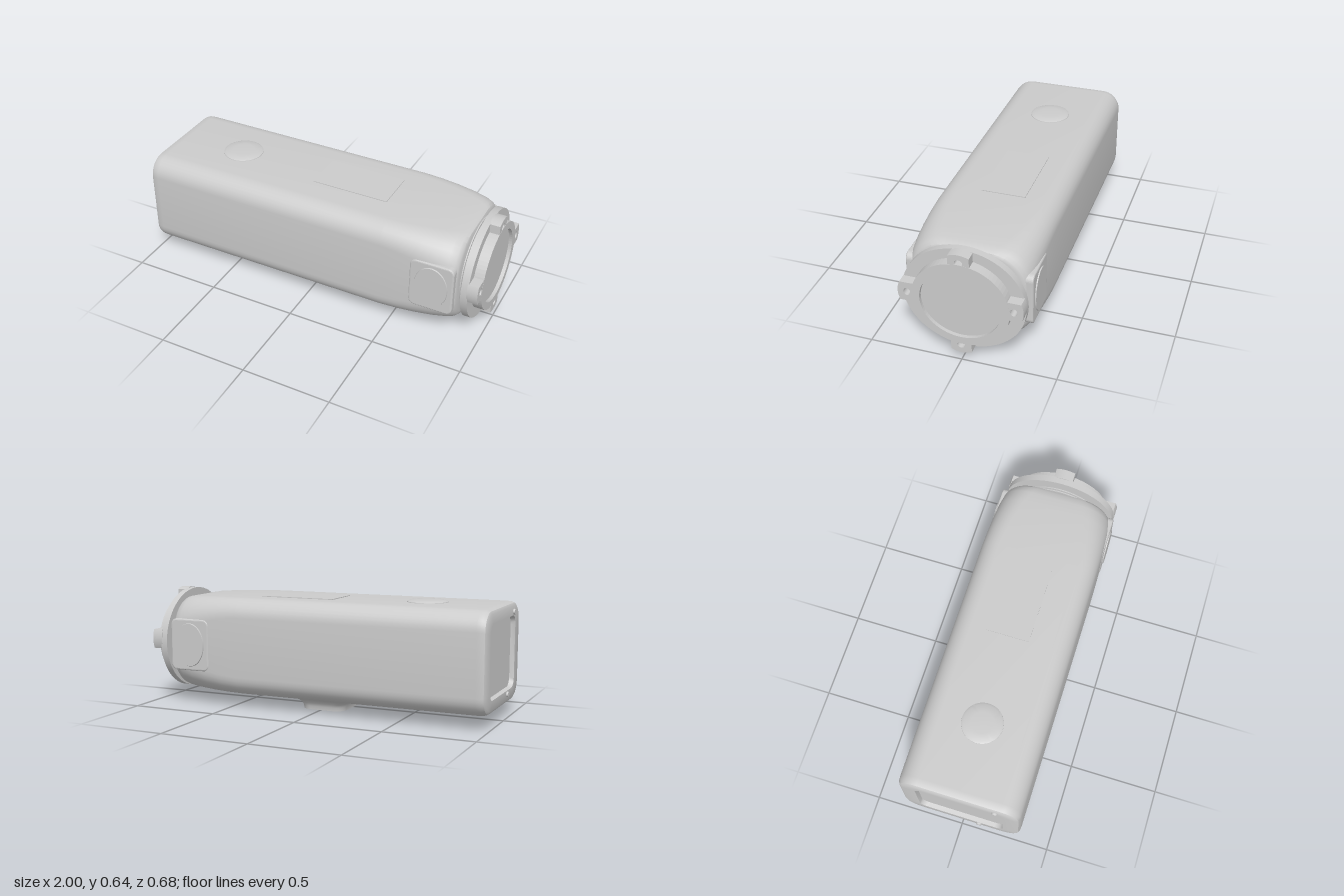
import * as THREE from 'three';
import { toCreasedNormals } from 'three/addons/utils/BufferGeometryUtils.js';

const MID = 0.345; // height of the long axis
const material = new THREE.MeshStandardMaterial({ color: 0xcccccc });

// Rounded rectangle outline, counter-clockwise, 4 * 9 points
function roundedRect(hu, hv, r) {
  const pts = [];
  for (let c = 0; c < 4; c++) {
    const su = c === 0 || c === 3 ? 1 : -1, sv = c < 2 ? 1 : -1;
    for (let k = 0; k <= 8; k++) {
      const a = (c + k / 8) * Math.PI / 2;
      pts.push(new THREE.Vector2(su * (hu - r) + r * Math.cos(a), sv * (hv - r) + r * Math.sin(a)));
    }
  }
  return pts;
}

// Loft through rounded rectangles [w, halfU, halfV, radius] along +z, capped at both ends
function loft(sections) {
  const pos = [], idx = [], n = 36, last = sections.length - 1;
  for (const [w, hu, hv, r] of sections) for (const p of roundedRect(hu, hv, r)) pos.push(p.x, p.y, w);
  pos.push(0, 0, sections[0][0], 0, 0, sections[last][0]);
  const c0 = n * (last + 1);
  for (let j = 0; j < n; j++) {
    const k = (j + 1) % n;
    for (let i = 0; i < last; i++) {
      const a = i * n + j, b = i * n + k;
      idx.push(a, b, b + n, a, b + n, a + n);
    }
    idx.push(c0, k, j, c0 + 1, last * n + j, last * n + k);
  }
  const g = new THREE.BufferGeometry();
  g.setAttribute('position', new THREE.Float32BufferAttribute(pos, 3));
  g.setIndex(idx);
  return toCreasedNormals(g, 0.6);
}

// Elliptical disc along x
function disc(x0, x1, ry, rz) {
  return new THREE.CylinderGeometry(1, 1, x1 - x0, 72)
    .rotateZ(-Math.PI / 2).scale(1, ry, rz).translate((x0 + x1) / 2, MID, 0);
}

// Extrude a (-z, y) shape along x
function extrudeX(shape, x0, x1) {
  return new THREE.ExtrudeGeometry(shape, { depth: x1 - x0, bevelEnabled: false, curveSegments: 36 })
    .rotateY(Math.PI / 2).translate(x0, 0, 0);
}

function ellipsePath(cx, cy, rx, ry) {
  return new THREE.Path().absellipse(cx, cy, rx, ry, 0, Math.PI * 2, true);
}

export function createModel() {
  const model = new THREE.Group();
  const add = (name, geometry) => {
    const mesh = new THREE.Mesh(geometry, material);
    mesh.name = name;
    model.add(mesh);
    return mesh;
  };

  // Housing, with the recessed panel at the rear and the tapered nose
  add('housing', loft([
    [-0.965, 0.235, 0.195, 0.05], [-0.99, 0.24, 0.2, 0.05],
    [-0.99, 0.312, 0.252, 0.09], [-0.982, 0.326, 0.266, 0.1], [-0.965, 0.333, 0.273, 0.105],
    [-0.94, 0.335, 0.275, 0.107], [0.45, 0.335, 0.275, 0.107], [0.55, 0.334, 0.274, 0.115],
    [0.65, 0.332, 0.272, 0.13], [0.75, 0.328, 0.268, 0.15], [0.82, 0.322, 0.264, 0.17],
    [0.855, 0.314, 0.258, 0.18], [0.872, 0.302, 0.248, 0.18], [0.878, 0.285, 0.232, 0.17],
  ]).rotateY(Math.PI / 2).translate(0, MID, 0));

  // Rear screws
  for (const [y, z] of [[0.125, 0.1], [0.565, 0.2]]) {
    add('rearScrew', new THREE.CylinderGeometry(0.014, 0.018, 0.02, 16)
      .rotateZ(Math.PI / 2).translate(-0.99, y, z));
  }

  // Flared mounting foot and its screws
  add('mountingFoot', loft([
    [0, 0.128, 0.168, 0.06], [0.02, 0.13, 0.17, 0.06], [0.038, 0.14, 0.178, 0.065],
    [0.053, 0.158, 0.192, 0.07], [0.064, 0.185, 0.214, 0.08], [0.071, 0.215, 0.24, 0.09],
    [0.09, 0.22, 0.245, 0.09],
  ]).rotateX(-Math.PI / 2).translate(-0.005, 0, 0));
  for (const sx of [-1, 1]) for (const sz of [-1, 1]) {
    add('footScrew', new THREE.CylinderGeometry(0.014, 0.014, 0.012, 16)
      .translate(-0.005 + sx * 0.09, 0.008, sz * 0.13));
  }

  // Shallow domed button and thin panel on top
  add('topButton', toCreasedNormals(new THREE.LatheGeometry(
    [[0.115, 0.61], [0.112, 0.623], [0.1, 0.629], [0.06, 0.632], [0, 0.633]]
      .map(([r, y]) => new THREE.Vector2(r, y)), 48), 0.6).translate(-0.565, 0, 0));
  add('topPanel', new THREE.BoxGeometry(0.44, 0.012, 0.24).translate(0.16, 0.618, -0.02));

  // Side pads with round covers
  for (const side of [1, -1]) {
    const pad = new THREE.Group();
    pad.name = 'sidePad';
    const plate = new THREE.Mesh(new THREE.ExtrudeGeometry(
      new THREE.Shape(roundedRect(0.113, 0.138, 0.025)),
      { depth: 0.05, bevelThickness: 0.008, bevelSize: 0.01, bevelSegments: 3 }), material);
    plate.position.z = 0.278;
    plate.name = 'padPlate';
    const cover = new THREE.Mesh(new THREE.CylinderGeometry(1, 1.04, 0.012, 48)
      .rotateX(Math.PI / 2).scale(0.092, 0.122, 1), material);
    cover.position.z = 0.336;
    cover.name = 'padCover';
    pad.add(plate, cover);
    pad.position.set(0.747, MID, 0);
    if (side < 0) pad.rotation.y = Math.PI;
    model.add(pad);
  }

  // Ribbed neck
  add('neck', disc(0.85, 0.92, 0.232, 0.245));
  for (const x of [0.882, 0.896]) add('neckRib', disc(x - 0.003, x + 0.003, 0.246, 0.26));

  // Lens flange, raised ring and glass
  add('flange', disc(0.907, 0.945, 0.295, 0.325));
  const ringShape = new THREE.Shape().absellipse(0, MID, 0.257, 0.242, 0, Math.PI * 2, false);
  ringShape.holes.push(ellipsePath(0, MID, 0.213, 0.2));
  add('lensRing', extrudeX(ringShape, 0.94, 1));
  add('lensGlass', disc(0.93, 0.98, 0.205, 0.218));

  // Four drilled ears around the ring, drawn pointing up and then turned
  for (let i = 0; i < 4; i++) {
    const sideways = i % 2 === 1;
    const r0 = sideways ? 0.245 : 0.23, r1 = sideways ? 0.328 : 0.299;
    const ear = new THREE.Shape();
    ear.moveTo(-0.055, r0);
    ear.lineTo(0.055, r0);
    ear.lineTo(0.055, r1 - 0.012);
    ear.quadraticCurveTo(0, r1 + 0.012, -0.055, r1 - 0.012);
    ear.holes.push(ellipsePath(0, sideways ? 0.278 : 0.252, 0.021, 0.018));
    add('flangeEar', extrudeX(ear, 0.94, 0.999).rotateX(i * Math.PI / 2)
      .translate(0, MID + (sideways ? 0.02 : 0), 0));
  }
  return model;
}
